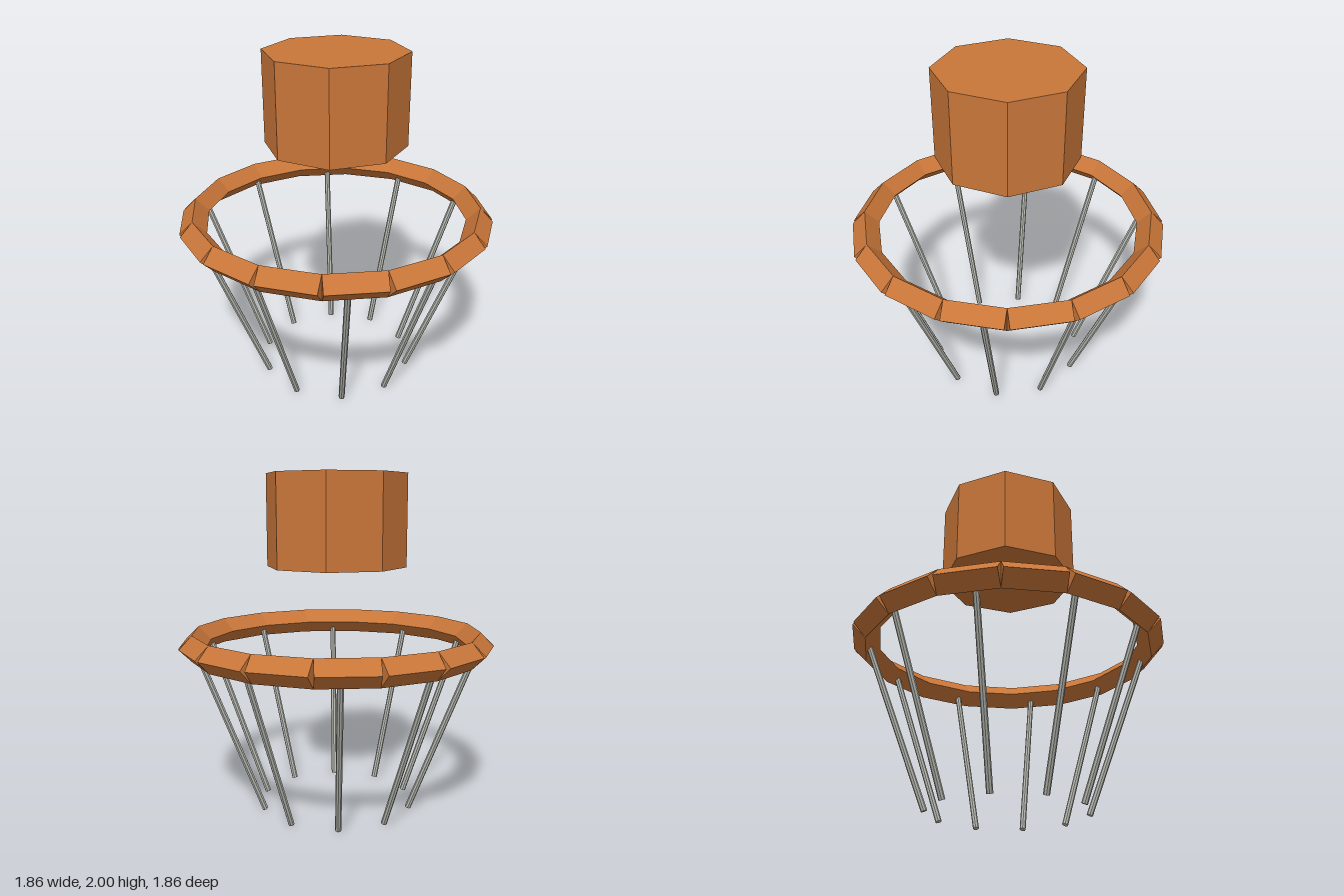
import * as THREE from 'three';

export function createModel() {
  const model = new THREE.Group();
  const orange = new THREE.MeshStandardMaterial({ color: 0xc97639, flatShading: true });
  orange.name = 'orange';
  const steel = new THREE.MeshStandardMaterial({ color: 0xb2b4ac, flatShading: true });
  steel.name = 'steel grey';
  const up = new THREE.Vector3(0, 1, 0);

  // Straight rod between two points
  function rod(name, a, b, radius, sides, material) {
    const dir = b.clone().sub(a);
    const mesh = new THREE.Mesh(new THREE.CylinderGeometry(radius, radius, dir.length(), sides), material);
    mesh.position.copy(a).add(b).multiplyScalar(0.5);
    mesh.quaternion.setFromUnitVectors(up, dir.normalize());
    mesh.name = name;
    return mesh;
  }
  const polar = (r, y, angle) => new THREE.Vector3(r * Math.cos(angle), y, r * Math.sin(angle));

  // Eight-sided ball floating above the hoop
  const ball = new THREE.Mesh(new THREE.CylinderGeometry(0.415, 0.415, 0.54, 8), orange);
  ball.position.y = 1.73;
  ball.name = 'ball';
  model.add(ball);

  // Hoop: sixteen straight bars of diamond section, open at the outer joints
  const hoop = new THREE.Group();
  hoop.name = 'hoop';
  const count = 16, ringRadius = 0.855, ringY = 1.007;
  const half = Math.PI / count;
  const barLength = 2 * ringRadius * Math.sin(half);
  for (let i = 0; i < count; i++) {
    const holder = new THREE.Group();
    const bar = new THREE.Mesh(new THREE.CylinderGeometry(0.078, 0.078, barLength, 4), orange);
    bar.rotation.x = Math.PI / 2;
    bar.position.set(ringRadius * Math.cos(half), ringY, 0);
    bar.name = 'hoopBar';
    holder.rotation.y = (2 * i + 1) * half;
    holder.add(bar);
    holder.name = 'hoopSegment';
    hoop.add(holder);
  }
  model.add(hoop);

  // Net: ten thin rods tapering inwards to the ground
  const net = new THREE.Group();
  net.name = 'net';
  for (let i = 0; i < 10; i++) {
    const a = (i * Math.PI) / 5;
    net.add(rod('netRod', polar(0.455, 0.007, a), polar(0.838, 1.007, a), 0.018, 8, steel));
  }
  model.add(net);

  return model;
}
